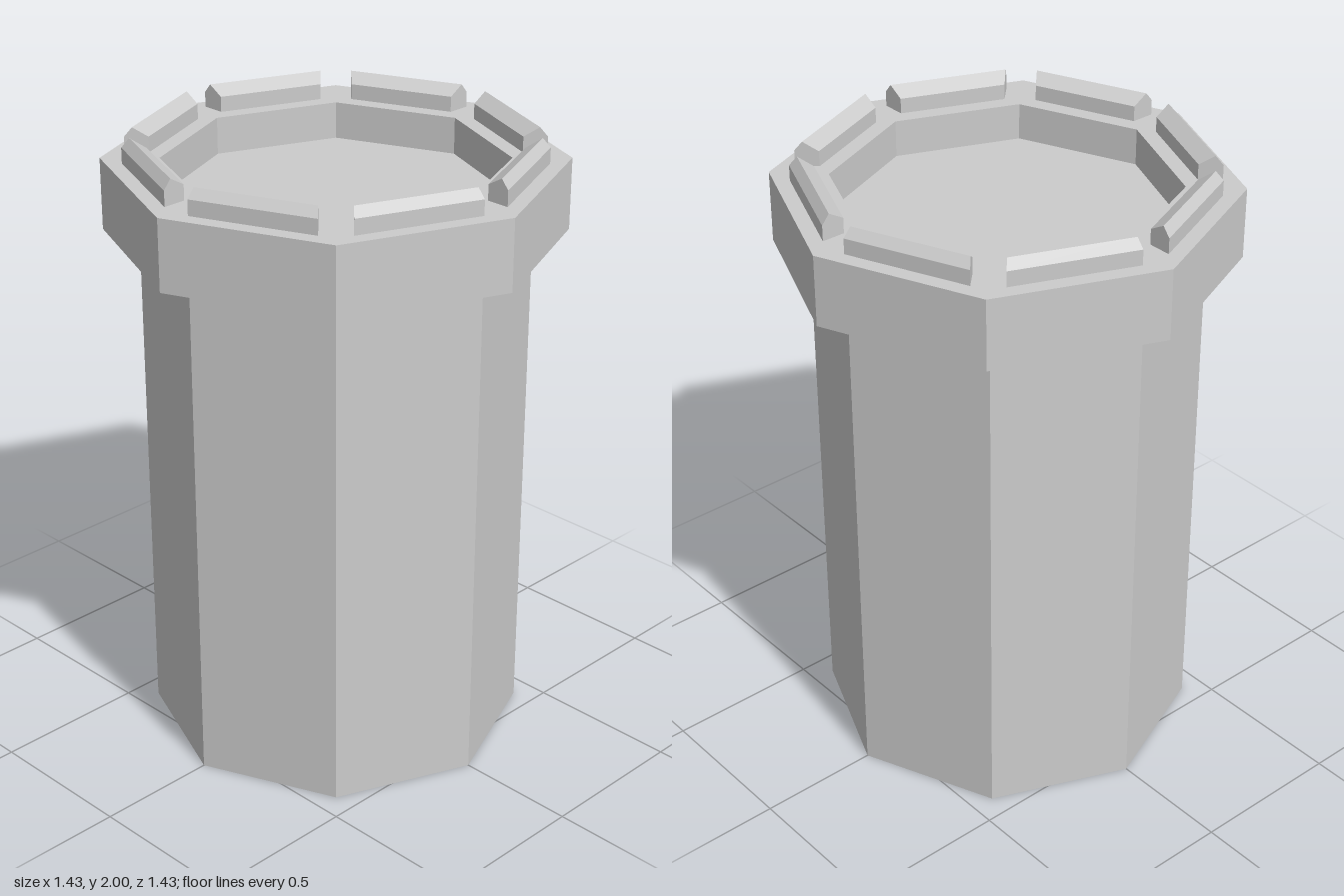
import * as THREE from 'three';

const SIDES = 8;
const material = new THREE.MeshStandardMaterial({ color: 0xcccccc, flatShading: true });

function addMesh(parent, geometry, name) {
  const mesh = new THREE.Mesh(geometry, material);
  mesh.name = name;
  parent.add(mesh);
  return mesh;
}

// Roof-topped block running along one octagon edge, its ends cut parallel to
// the lines from the axis to the corners so the gaps have constant width.
function merlonGeometry() {
  const gap = 0.05;
  const section = [[0.645, 1.92], [0.645, 1.97], [0.62, 2], [0.57, 1.97], [0.57, 1.92]];
  const n = section.length;
  const positions = [];
  for (const [r, y] of section) positions.push(gap, y, r);
  for (const [r, y] of section) {
    positions.push((r - gap) * Math.SQRT1_2, y, (r + gap) * Math.SQRT1_2);
  }
  const index = [];
  for (let i = 0; i < n; i++) {
    const j = (i + 1) % n;
    index.push(i, n + i, n + j, i, n + j, j);
  }
  for (let i = 1; i < n - 1; i++) {
    index.push(0, i, i + 1, n, n + i + 1, n + i);
  }
  const geometry = new THREE.BufferGeometry();
  geometry.setAttribute('position', new THREE.Float32BufferAttribute(positions, 3));
  geometry.setIndex(index);
  const flat = geometry.toNonIndexed();
  flat.computeVertexNormals();
  return flat;
}

export function createModel() {
  const tower = new THREE.Group();
  tower.name = 'tower';

  // Octagonal shaft
  const shaft = addMesh(tower, new THREE.CylinderGeometry(0.605, 0.605, 1.69, SIDES), 'shaft');
  shaft.position.y = 0.845;

  // Overhanging crown with a sunken floor
  const profile = [
    [0.6, 1.69], [0.717, 1.69], [0.717, 1.92], [0.535, 1.92], [0.535, 1.8], [0, 1.8],
  ].map(([r, y]) => new THREE.Vector2(r, y));
  addMesh(tower, new THREE.LatheGeometry(profile, SIDES), 'crown');

  // Ring of merlons, one per side
  const merlons = new THREE.Group();
  merlons.name = 'merlons';
  const geometry = merlonGeometry();
  for (let i = 0; i < SIDES; i++) {
    addMesh(merlons, geometry, 'merlon').rotation.y = (i * Math.PI * 2) / SIDES;
  }
  tower.add(merlons);

  return tower;
}
